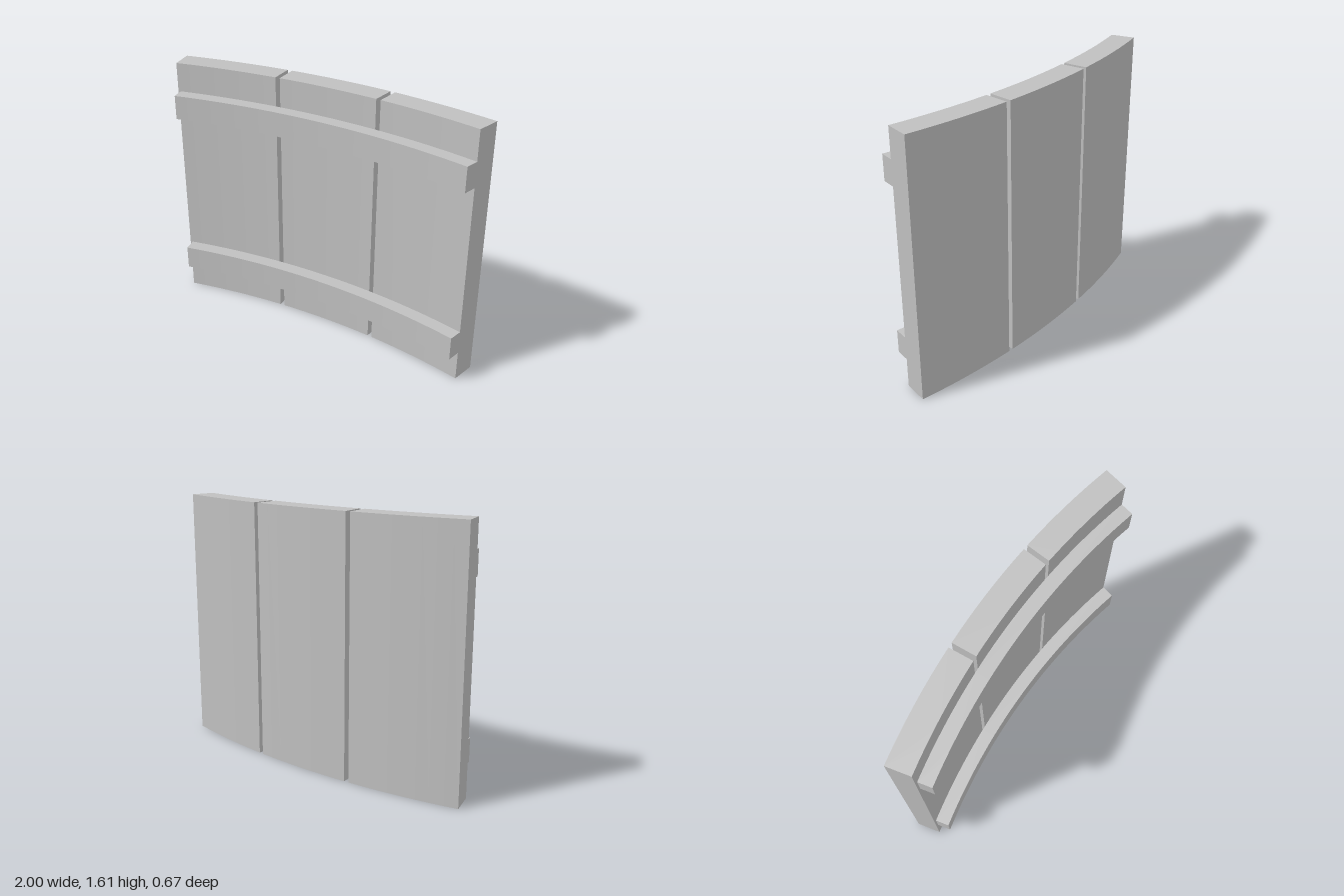
import * as THREE from 'three';

const CENTER_Z = 4.216; // arc centre lies at x = 1, z = CENTER_Z
const R_BACK = 4.551, R_FACE = 4.401, R_BAR = 4.316;
const HEIGHT = 1.61;

// Curved slab between two radii and two angles (degrees), extruded upwards
function arcSlab(rIn, rOut, a0, a1, y, height, steps) {
  const at = (r, deg) => {
    const a = THREE.MathUtils.degToRad(deg);
    return new THREE.Vector2(1 - r * Math.sin(a), r * Math.cos(a) - CENTER_Z);
  };
  const outer = [], inner = [];
  for (let i = 0; i <= steps; i++) {
    const a = a0 + (a1 - a0) * i / steps;
    outer.push(at(rOut, a));
    inner.unshift(at(rIn, a));
  }
  const geo = new THREE.ExtrudeGeometry(new THREE.Shape([...outer, ...inner]), {
    depth: height, bevelEnabled: false, steps: 1,
  });
  geo.rotateX(-Math.PI / 2);
  geo.translate(0, y, 0);
  return geo;
}

export function createModel() {
  const model = new THREE.Group();
  model.name = 'curvedPanel';
  const grey = new THREE.MeshStandardMaterial({ color: 0xc0c0c0 });
  grey.name = 'plain grey';

  const add = (name, geo) => {
    const mesh = new THREE.Mesh(geo, grey);
    mesh.name = name;
    model.add(mesh);
  };

  // Three upright planks with narrow gaps
  [[0, 8.2], [8.57, 16.92], [17.3, 26.07]].forEach(([a0, a1], i) =>
    add(`plank${i + 1}`, arcSlab(R_FACE, R_BACK, a0, a1, 0, HEIGHT, 8)));

  // Two curved battens across the front
  add('lowerBatten', arcSlab(R_BAR, R_FACE, 0, 25.86, 0.19, 0.15, 24));
  add('upperBatten', arcSlab(R_BAR, R_FACE, 0, 25.86, 1.275, 0.153, 24));

  return model;
}
